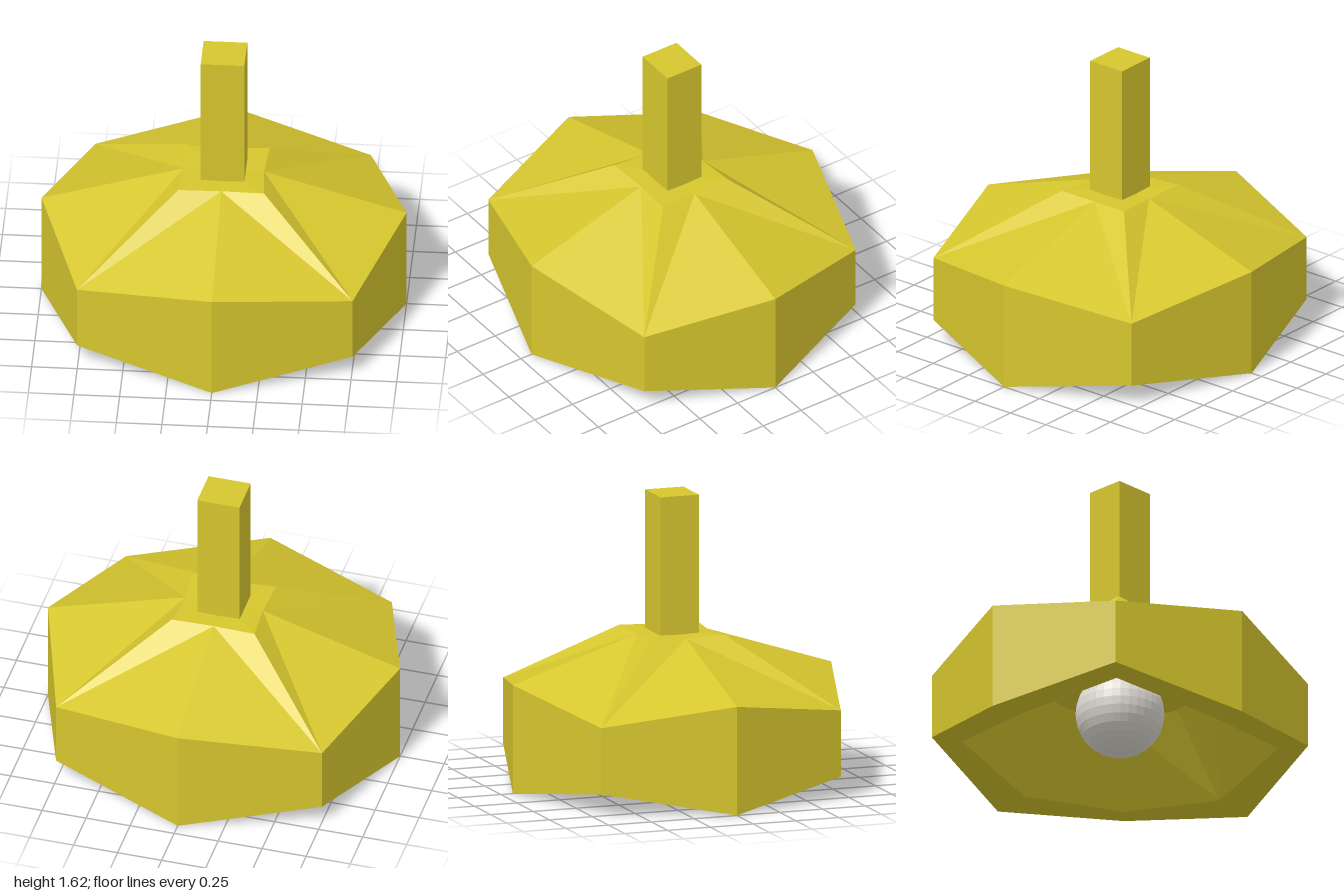
import * as THREE from 'three';

// Eight-sided ring: corners at (cx, cz), side middles at mx and mz
function ring(cx, cz, cornerY, mx, mz, midY) {
  return [
    [mx, midY, 0], [cx, cornerY, cz], [0, midY, mz], [-cx, cornerY, cz],
    [-mx, midY, 0], [-cx, cornerY, -cz], [0, midY, -mz], [cx, cornerY, -cz],
  ];
}

// Skin successive rings with flat facets
function loft(rings) {
  const pos = [];
  for (let r = 0; r < rings.length - 1; r++) {
    for (let i = 0; i < 8; i++) {
      const j = (i + 1) % 8;
      const a = rings[r][i], b = rings[r][j], c = rings[r + 1][j], d = rings[r + 1][i];
      // Split every panel the same way on either side of a corner
      if (i % 2) pos.push(...a, ...d, ...c, ...a, ...c, ...b);
      else pos.push(...a, ...d, ...b, ...d, ...c, ...b);
    }
  }
  const geo = new THREE.BufferGeometry();
  geo.setAttribute('position', new THREE.Float32BufferAttribute(pos, 3));
  geo.computeVertexNormals();
  return geo;
}

export function createModel() {
  const group = new THREE.Group();
  const yellow = new THREE.MeshStandardMaterial({ color: 0xd6c62e, flatShading: true });
  const white = new THREE.MeshStandardMaterial({ color: 0xe0dcd4, flatShading: true });

  const add = (name, geometry, material, y) => {
    const mesh = new THREE.Mesh(geometry, material);
    mesh.name = name;
    mesh.position.y = y;
    group.add(mesh);
  };

  // Shade: hollow underside, lip, outer wall, sloping roof and flat cap
  add('lampShade', loft([
    ring(0, 0, 0.46, 0, 0, 0.46),
    ring(0.37, 0.35, 0.46, 0.45, 0.42, 0.46),
    ring(0.635, 0.59, 0.10, 0.78, 0.727, 0.025),
    ring(0.755, 0.70, 0.12, 1, 0.93, 0),
    ring(0.755, 0.70, 0.49, 1, 0.93, 0.605),
    ring(0.235, 0.22, 0.847, 0.22, 0.205, 0.84),
    ring(0, 0, 0.845, 0, 0, 0.845),
  ]), yellow, 0);

  // Square stem
  add('stem', new THREE.BoxGeometry(0.24, 0.785, 0.224), yellow, 1.2225);

  // Bulb inside the shade
  add('bulb', new THREE.SphereGeometry(0.243, 32, 16), white, 0.285);

  return group;
}
